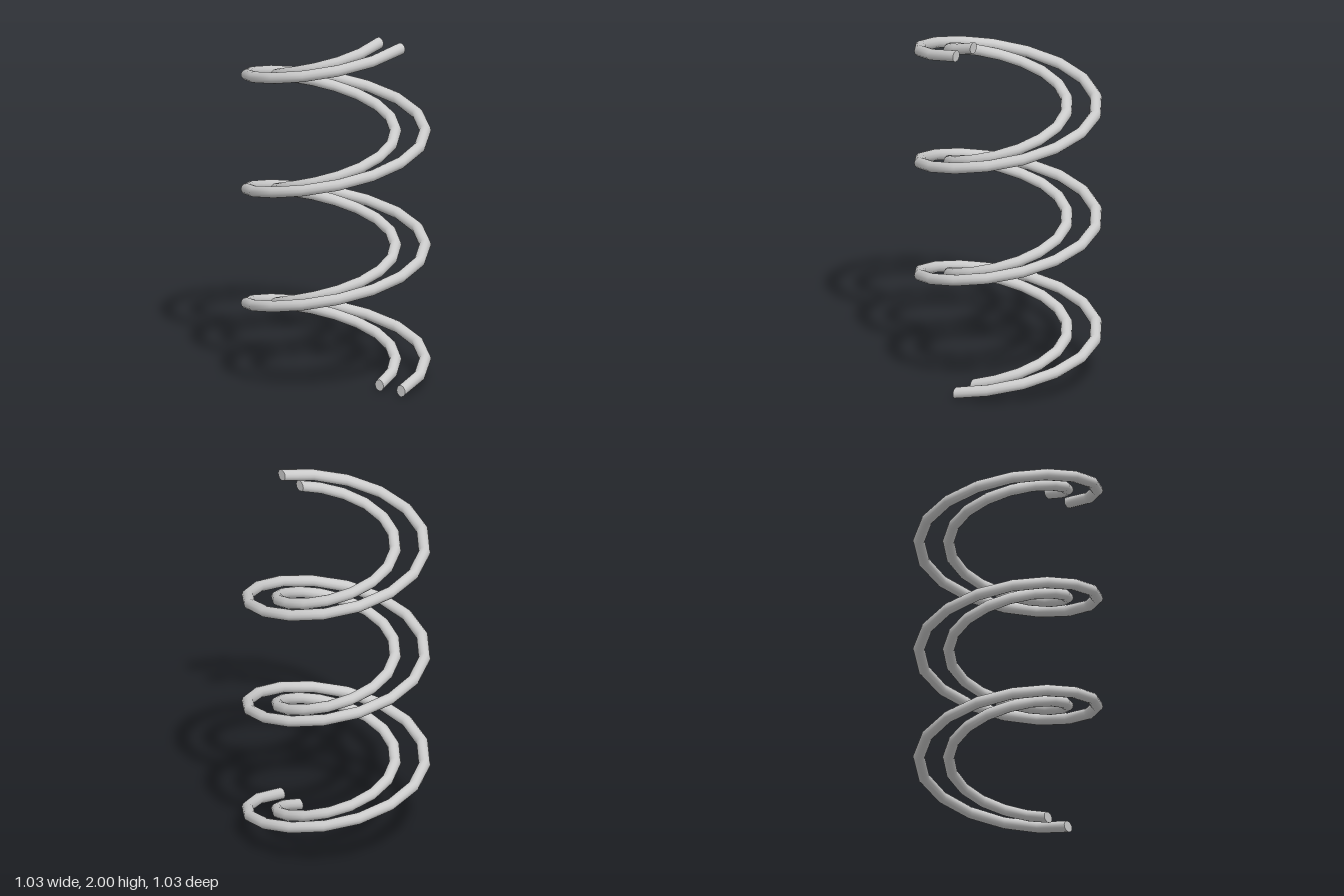
import * as THREE from 'three';
import { mergeVertices } from 'three/addons/utils/BufferGeometryUtils.js';

const TURNS = 3, STEPS = 16, SIDES = 12, WIRE = 0.032;
const RISE = 2 - 2 * WIRE;

// A multi-turn torus, lifted step by step into a helix
function coilGeometry(radius) {
  const steps = TURNS * STEPS;
  let geo = new THREE.TorusGeometry(radius, WIRE, SIDES, steps, TURNS * Math.PI * 2);
  geo.rotateX(-Math.PI / 2);
  const pos = geo.attributes.position;
  for (let i = 0; i < pos.count; i++) {
    const step = i % (steps + 1);
    pos.setY(i, pos.getY(i) + WIRE + RISE * step / steps);
  }
  // weld the seam along the wire so the shading stays smooth
  geo.deleteAttribute('uv');
  geo.deleteAttribute('normal');
  geo = mergeVertices(geo, 1e-5);
  geo.computeVertexNormals();
  return geo;
}

export function createModel() {
  const model = new THREE.Group();
  model.name = 'doubleSpring';
  const material = new THREE.MeshStandardMaterial({ color: 0xcccccc, side: THREE.DoubleSide });

  const add = (parent, name, geo) => {
    const mesh = new THREE.Mesh(geo, material);
    mesh.name = name;
    parent.add(mesh);
    return mesh;
  };

  for (const [name, radius] of [['outerCoil', 0.484], ['innerCoil', 0.323]]) {
    const coil = new THREE.Group();
    coil.name = name;
    add(coil, name + 'Wire', coilGeometry(radius));
    // flat wire ends: the lower faces front, the upper faces back
    const lower = add(coil, name + 'LowerEnd', new THREE.CircleGeometry(WIRE, SIDES));
    lower.position.set(radius, WIRE, 0);
    const upper = add(coil, name + 'UpperEnd', new THREE.CircleGeometry(WIRE, SIDES));
    upper.position.set(radius, WIRE + RISE, 0);
    upper.rotation.y = Math.PI;
    model.add(coil);
  }
  return model;
}
